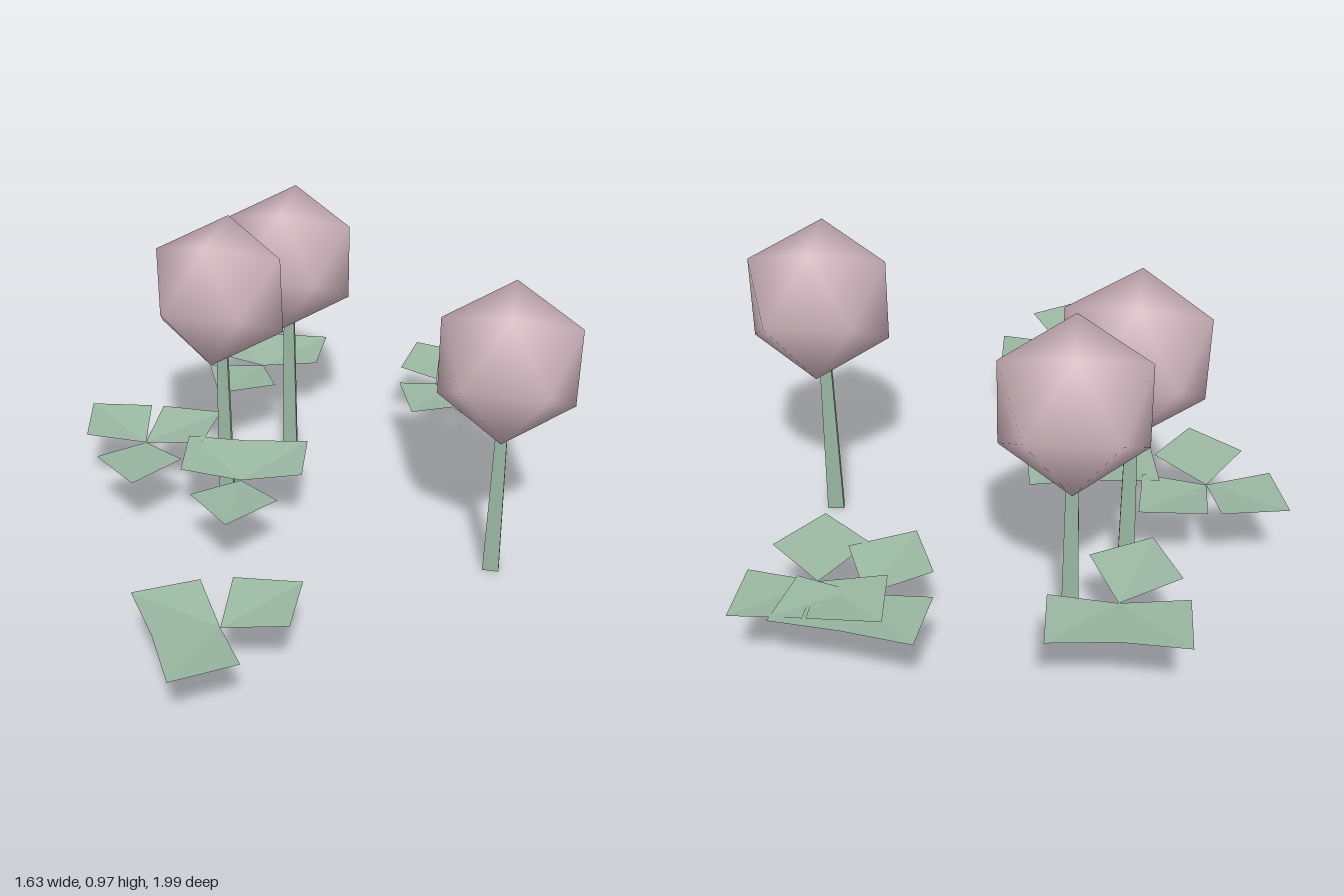
import * as THREE from 'three';

const DEG = Math.PI / 180;

// Flower head: icosahedron with smooth normals, set with a horizontal ridge on top
function headGeometry() {
  const g = new THREE.IcosahedronGeometry(0.243, 0);
  g.rotateY(Math.PI / 2);
  const p = g.attributes.position, n = g.attributes.normal, v = new THREE.Vector3();
  for (let i = 0; i < p.count; i++) {
    v.fromBufferAttribute(p, i).normalize();
    n.setXYZ(i, v.x, v.y, v.z);
  }
  return g;
}

// Stem: thin flat strip, narrower towards the top
function stemGeometry(height) {
  const g = new THREE.BoxGeometry(0.052, height, 0.018);
  g.translate(0, height / 2, 0);
  const p = g.attributes.position;
  for (let i = 0; i < p.count; i++) if (p.getY(i) > 0.1) p.setX(i, p.getX(i) * 0.6);
  g.computeVertexNormals();
  return g;
}

// Leaf: square hinged at its inner corner, folded along the diagonal and rising outwards
function leafGeometry(angle) {
  const at = (radius, degrees, y) =>
    [Math.cos(degrees * DEG) * radius, y, Math.sin(degrees * DEG) * radius];
  const inner = [0, 0, 0];
  const tip = at(0.288, angle, 0.028);
  const sideA = at(0.196, angle + 45, 0.028);
  const sideB = at(0.196, angle - 45, 0.028);
  const g = new THREE.BufferGeometry();
  g.setAttribute('position', new THREE.Float32BufferAttribute(
    [inner, sideA, tip, inner, tip, sideB].flat(), 3));
  g.computeVertexNormals();
  return g;
}

export function createModel() {
  const model = new THREE.Group();
  model.name = 'flowerPatch';

  const pink = new THREE.MeshStandardMaterial({ color: 0xcfb5bd });
  pink.name = 'dusty pink';
  const stemGreen = new THREE.MeshStandardMaterial({ color: 0x9ab8a2 });
  stemGreen.name = 'sage green';
  const leafGreen = stemGreen.clone();
  leafGreen.side = THREE.DoubleSide;
  leafGreen.name = 'sage green leaf';

  // Flowers: x, z, then small turns of the head about y and z
  const flowers = [
    [0.602, -0.01, 0, 0],
    [-0.175, -0.59, 0, 0],
    [-0.34, -0.303, -0.07, 0.03],
  ];
  const headGeo = headGeometry(), stemGeo = stemGeometry(0.65);
  for (const [x, z, turn, lean] of flowers) {
    const flower = new THREE.Group();
    flower.name = 'flower';
    flower.position.set(x, 0, z);
    const stem = new THREE.Mesh(stemGeo, stemGreen);
    stem.name = 'stem';
    const head = new THREE.Mesh(headGeo, pink);
    head.name = 'flowerHead';
    head.position.set(x > 0 ? 0.005 : -0.002, 0.761, 0);
    head.rotation.set(0, turn, lean);
    flower.add(stem, head);
    model.add(flower);
  }

  // Leaf clusters: x, z of the centre and the direction of each leaf (0 = +x, 90 = +z)
  const clusters = [
    [-0.10, 0.72, [-48, -166, 105]],
    [-0.215, -0.01, [86, -53, -140]],
    [-0.58, -0.17, [82, -145, -43]],
    [-0.31, -0.76, [-132, -47, 110]],
    [0.385, -0.758, [-124, -34, 113]],
    [0.525, -0.708, [85, -136, -43]],
  ];
  for (const [x, z, angles] of clusters) {
    const cluster = new THREE.Group();
    cluster.name = 'leafCluster';
    cluster.position.set(x, 0.236, z);
    for (const angle of angles) {
      const leaf = new THREE.Mesh(leafGeometry(angle), leafGreen);
      leaf.name = 'leaf';
      cluster.add(leaf);
    }
    model.add(cluster);
  }
  return model;
}
